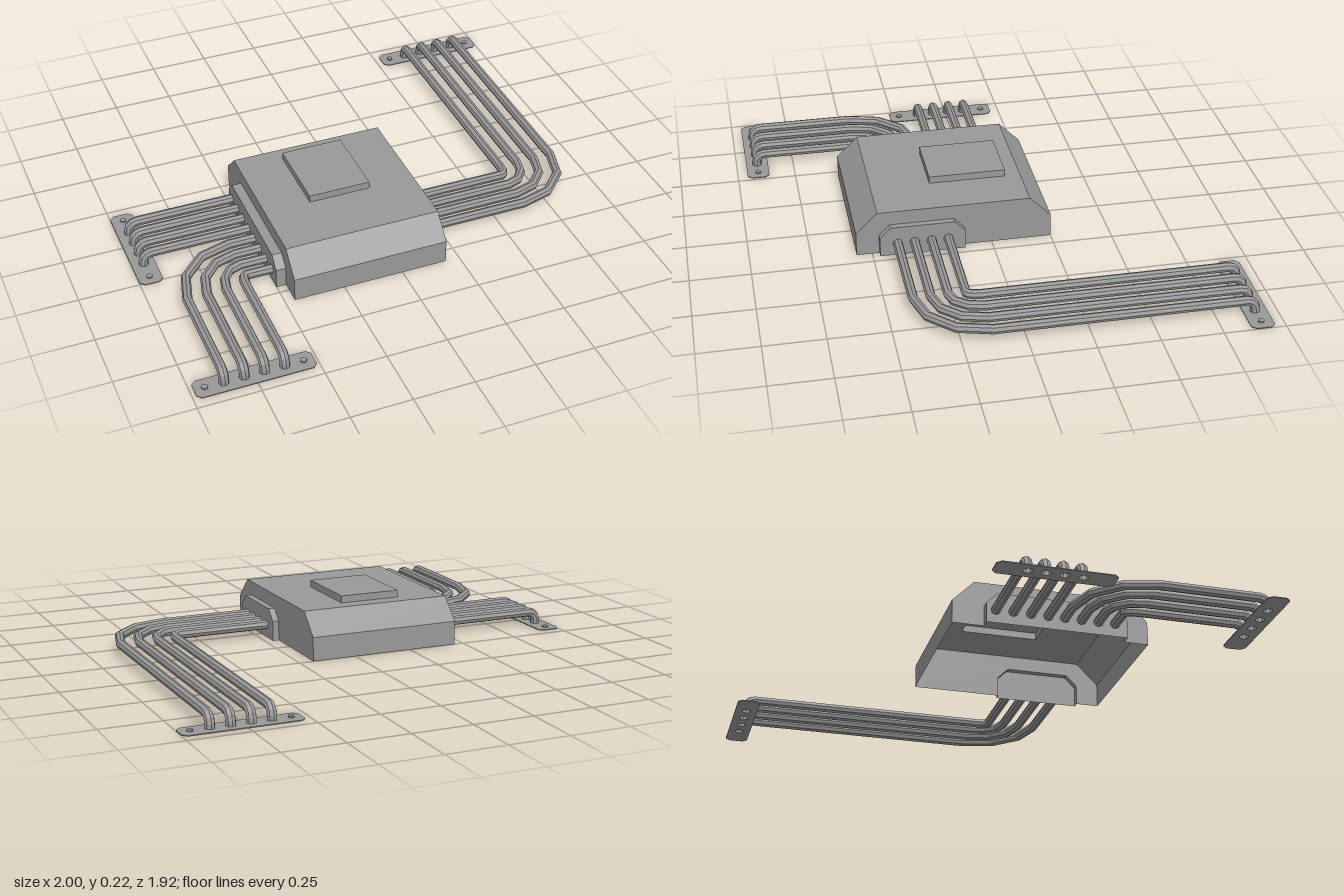
import * as THREE from 'three';
import { mergeGeometries } from 'three/addons/utils/BufferGeometryUtils.js';

const grey = new THREE.MeshStandardMaterial({ color: 0x999999, side: THREE.DoubleSide });
const V = (x, y, z) => new THREE.Vector3(x, y, z);

function add(parent, name, geometry, x = 0, y = 0, z = 0) {
  const mesh = new THREE.Mesh(geometry, grey);
  mesh.name = name;
  mesh.position.set(x, y, z);
  parent.add(mesh);
}

// Side outline as [z, y], from the front foot over the top to the back foot
const outline = (front, back, h, cut) => [
  [front, 0], [front, h - cut], [front - cut, h], [back + cut, h], [back, h - cut], [back, 0],
];

// Flat strips that join an outline between two x positions
function strips(profile, x0, x1, skip = -1) {
  const pos = [];
  for (let i = 0; i < profile.length - 1; i++) {
    if (i === skip) continue;
    const [az, ay] = profile[i], [bz, by] = profile[i + 1];
    pos.push(x0, ay, az, x1, ay, az, x1, by, bz, x0, ay, az, x1, by, bz, x0, by, bz);
  }
  const g = new THREE.BufferGeometry();
  g.setAttribute('position', new THREE.Float32BufferAttribute(pos, 3));
  g.computeVertexNormals();
  return g;
}

// Wall closing an outline at x, facing side (+1 or -1)
function wall(profile, x, side) {
  const shape = new THREE.Shape(profile.map(([z, y]) => new THREE.Vector2(-side * z, y)));
  return new THREE.ShapeGeometry(shape).rotateY(side * Math.PI / 2).translate(x, 0, 0);
}

function rect(Type, x0, x1, z0, z1) {
  return new Type([[x0, -z1], [x1, -z1], [x1, -z0], [x0, -z0]].map(p => new THREE.Vector2(...p)));
}

const join = parts => mergeGeometries(parts.map(g => {
  const n = g.index ? g.toNonIndexed() : g;
  n.deleteAttribute('uv');
  return n;
}));

// Separate flat facets
function faceted(geometry) {
  const g = geometry.toNonIndexed();
  g.computeVertexNormals();
  return g;
}

// Curve that passes exactly through its corner points, one ring at each
class Route extends THREE.Curve {
  constructor(points) { super(); this.points = points; }
  getPointAt(u, target = V()) {
    return target.copy(this.points[Math.round(u * (this.points.length - 1))]);
  }
  getTangentAt(u, target = V()) {
    const p = this.points, i = Math.round(u * (p.length - 1));
    target.set(0, 0, 0);
    if (i > 0) target.add(p[i].clone().sub(p[i - 1]).normalize());
    if (i < p.length - 1) target.add(p[i + 1].clone().sub(p[i]).normalize());
    return target.normalize();
  }
}

const PIPE_Y = 0.055, PIPE_R = 0.02, DROP = 0.035;

// Quarter bend down into the mounting plate, heading along dir
function drop(end, dir) {
  const pts = [];
  for (let k = 0; k <= 3; k++) {
    const a = k * Math.PI / 6;
    pts.push(end.clone().addScaledVector(dir, DROP * (Math.sin(a) - 1))
      .add(V(0, PIPE_Y - DROP * (1 - Math.cos(a)), 0)));
  }
  pts.push(end.clone());
  return pts;
}

// Pipe leaving the housing along x and turning along z around (cx, cz)
function bentPipe(x0, z0, cx, cz, x1, z1) {
  const pts = [V(x0, PIPE_Y, z0)];
  for (let k = 0; k <= 3; k++) {
    const a = k * Math.PI / 6;
    pts.push(V(cx + (x1 - cx) * Math.sin(a), PIPE_Y, cz + (z0 - cz) * Math.cos(a)));
  }
  return pts.concat(drop(V(x1, 0, z1), V(0, 0, Math.sign(z1 - cz))));
}

function addPipe(parent, name, pts) {
  add(parent, name, faceted(new THREE.TubeGeometry(new Route(pts), pts.length - 1, PIPE_R, 8, false)));
}

// Thin plate with clipped corners, four pipe holes and a bolt near each end
function mountingPlate(parent, name, x, z, pitch, turned) {
  const g = new THREE.Group();
  g.name = name;
  const w = 0.237, d = 0.048, c = 0.018;
  const shape = new THREE.Shape([
    [-w + c, -d], [w - c, -d], [w, -d + c], [w, d - c],
    [w - c, d], [-w + c, d], [-w, d - c], [-w, -d + c],
  ].map(p => new THREE.Vector2(...p)));
  for (let i = 0; i < 4; i++) {
    shape.holes.push(new THREE.Path().absarc((i - 1.5) * pitch, 0, PIPE_R - 0.001, 0, Math.PI * 2, true));
  }
  const plate = new THREE.ExtrudeGeometry(shape, { depth: 0.004, bevelEnabled: false, curveSegments: 4 });
  add(g, 'plate', plate.rotateX(-Math.PI / 2));
  for (const s of [-1, 1]) {
    add(g, 'bolt', faceted(new THREE.CylinderGeometry(0.013, 0.013, 0.011, 8)), s * 0.195, 0.0055, 0);
  }
  g.position.set(x, 0, z);
  if (turned) g.rotation.y = Math.PI / 2;
  parent.add(g);
}

export function createModel() {
  const model = new THREE.Group();
  model.name = 'pipeJunction';
  const X0 = -0.46, X1 = 0.19, TOP = 0.19;

  // Hollow housing, open below, with openings into the collars and top pad
  const body = outline(0.565, -0.25, TOP, 0.09);
  const leftCollar = outline(0.47, 0.115, 0.13, 0.045);
  const rightCollar = outline(0.465, -0.12, 0.13, 0.045);
  const pad = [-0.267, -0.007, -0.095, 0.228];
  const lid = rect(THREE.Shape, X0, X1, body[3][0], body[2][0]);
  lid.holes.push(rect(THREE.Path, ...pad));
  add(model, 'housing', join([
    strips(body, X0, X1, 2),
    new THREE.ShapeGeometry(lid).rotateX(-Math.PI / 2).translate(0, TOP, 0),
    wall([...body, ...leftCollar.slice().reverse()], X1, 1),
    wall([...body, ...rightCollar.slice().reverse()], X0, -1),
  ]));

  // Raised pad on the lid
  const [px0, px1, pz0, pz1] = pad;
  const padOutline = [[pz1, TOP], [pz1, 0.22], [pz0, 0.22], [pz0, TOP]];
  add(model, 'topPad', join([
    strips(padOutline, px0, px1), wall(padOutline, px1, 1), wall(padOutline, px0, -1),
  ]));

  // Collars where the pipes leave the housing
  const LEFT = 0.217, RIGHT = -0.5;
  add(model, 'leftCollar', join([strips(leftCollar, X1, LEFT), wall(leftCollar, LEFT, 1)]));
  add(model, 'rightCollar', join([strips(rightCollar, RIGHT, X0), wall(rightCollar, RIGHT, -1)]));

  // Three banks of four pipes, starting flush with the collars
  for (let i = 0; i < 4; i++) {
    addPipe(model, 'leftPipe', bentPipe(LEFT, 0.187 + 0.07 * i, 0.62, 0.13, 0.642 + 0.08 * i, -0.91));
    addPipe(model, 'frontPipe', bentPipe(RIGHT, 0.202 + 0.07 * i, -0.61, 0.47, -0.868 + 0.08 * i, 0.91));
    const z = 0.025 + 0.072 * (i - 1.5);
    addPipe(model, 'rightPipe', [V(RIGHT, PIPE_Y, z), ...drop(V(-0.95, 0, z), V(-1, 0, 0))]);
  }

  mountingPlate(model, 'leftMount', 0.762, -0.911, 0.08, false);
  mountingPlate(model, 'frontMount', -0.748, 0.91, 0.08, false);
  mountingPlate(model, 'rightMount', -0.951, 0.025, 0.072, true);
  return model;
}
